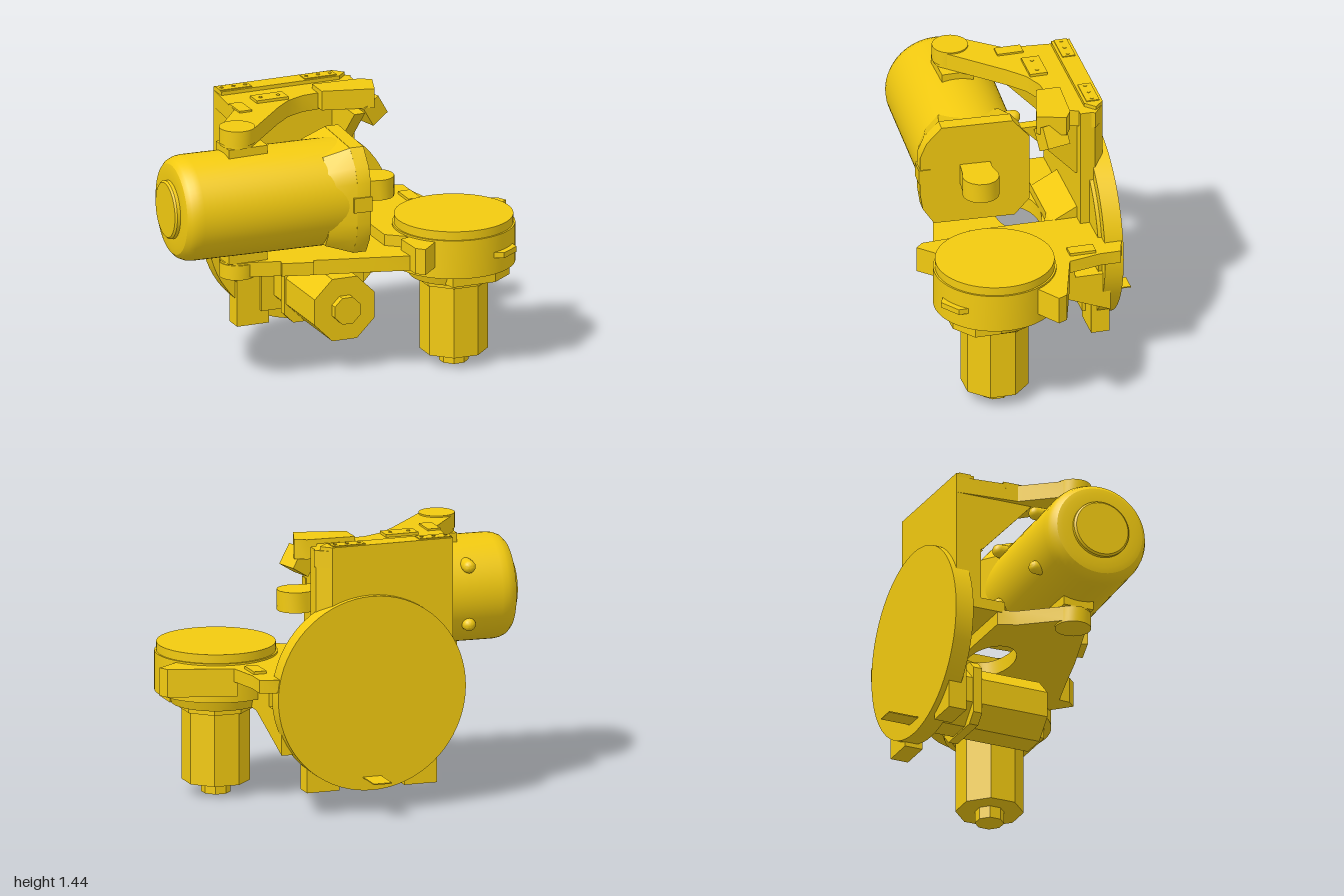
import * as THREE from 'three';
import { toCreasedNormals } from 'three/addons/utils/BufferGeometryUtils.js';

const paint = new THREE.MeshStandardMaterial({ color: 0xf2ca10 });

export function createModel() {
  const model = new THREE.Group();

  const add = (name, geo, parent = model) => {
    const mesh = new THREE.Mesh(toCreasedNormals(geo, 0.5), paint);
    mesh.name = name;
    parent.add(mesh);
    return mesh;
  };
  const extrude = (shape, depth) =>
    new THREE.ExtrudeGeometry(shape, { depth, bevelEnabled: false, curveSegments: 24 });
  const outline = (pts) => new THREE.Shape(pts.map(([a, b]) => new THREE.Vector2(a, b)));
  // Horizontal plate from [x, z] points
  const slab = (pts, y0, y1, hole) => {
    const s = outline(pts.map(([x, z]) => [x, -z]));
    if (hole) s.holes.push(new THREE.Path().absellipse(hole[0], -hole[1], hole[2], hole[3], 0, Math.PI * 2));
    return extrude(s, y1 - y0).rotateX(-Math.PI / 2).translate(0, y0, 0);
  };
  // Side profile from [z, y] points, spanning x0 to x1
  const side = (pts, x0, x1) =>
    extrude(outline(pts.map(([z, y]) => [-z, y])), x1 - x0).rotateY(Math.PI / 2).translate(x0, 0, 0);
  const box = (x0, x1, y0, y1, z0, z1) =>
    new THREE.BoxGeometry(x1 - x0, y1 - y0, z1 - z0).translate((x0 + x1) / 2, (y0 + y1) / 2, (z0 + z1) / 2);
  // Upright cylinder; flat sided ones face the axes
  const drum = (x, z, y0, y1, r, sides = 64, rTop = r) => {
    const k = sides < 16 ? 1 / Math.cos(Math.PI / sides) : 1;
    return new THREE.CylinderGeometry(rTop * k, r * k, y1 - y0, sides)
      .rotateY(Math.PI / sides).translate(x, (y0 + y1) / 2, z);
  };
  // Points of a rounded arm tip, from angle a0 to a1 in the [x, z] plane
  const tip = (x, z, r, a0, a1, n = 12) => Array.from({ length: n + 1 }, (_, i) => {
    const a = a0 + (a1 - a0) * i / n;
    return [x + r * Math.cos(a), z + r * Math.sin(a)];
  });

  // Rear mounting disc with its tab
  const disc = (r, z0, z1) => new THREE.CylinderGeometry(r, r, z1 - z0, 72)
    .rotateX(Math.PI / 2).translate(-0.01, 0.64, (z0 + z1) / 2);
  add('mountingDisc', disc(0.52, -0.45, -0.35));
  add('discStep', disc(0.46, -0.36, -0.33));
  add('discTab', box(-0.06, 0.04, 0.188, 0.194, -0.615, -0.44));

  // Back plate, chamfered on its left edge, with side gussets
  add('backPlate', slab([[-0.47, -0.42], [0.2, -0.42], [0.27, -0.36], [0.27, -0.28], [-0.47, -0.28]], 0.7, 1.41));
  add('backPlateCrown', slab([[-0.47, -0.42], [0.2, -0.42], [0.25, -0.37], [0.2, -0.32], [-0.47, -0.32]], 1.1, 1.43));
  for (const x of [-0.47, 0.14])
    add('gusset', side([[0.02, 1.33], [-0.29, 1.33], [-0.29, 1.02], [-0.27, 1.02]], x, x + 0.06));
  add('ramp', side([[-0.14, 0.74], [-0.29, 0.82], [-0.29, 0.74]], -0.2, 0.2));

  // Upper arm reaching to the barrel pivot
  add('upperArm', slab([
    [0.2, -0.42], [0.28, -0.36], [0.2, -0.2], [0.04, -0.165], [-0.08, -0.155], [-0.18, -0.11],
    [-0.27, -0.03], ...tip(-0.6, 0.19, 0.09, 0.6, Math.PI + 0.65), [-0.5, -0.08], [-0.49, -0.2], [-0.47, -0.42],
  ], 1.32, 1.41));
  add('upperArmTip', drum(-0.6, 0.19, 1.335, 1.418, 0.095, 32));

  // Barrel pivots, top and bottom
  for (const [y0, y1] of [[1.26, 1.345], [0.67, 0.75]])
    add('pivot', drum(-0.61, 0.2, y0, y1, 0.045, 24));
  add('upperPivotPad', box(-0.68, -0.46, 1.24, 1.32, 0.1, 0.27));
  add('lowerPivotPad', box(-0.68, -0.46, 0.69, 0.77, 0.1, 0.27));

  // Drill barrel, turned slightly about y
  const barrel = new THREE.Group();
  barrel.name = 'barrel';
  barrel.position.set(0, 1.005, 0.222);
  barrel.rotation.y = -0.05;
  model.add(barrel);
  const profile = [[0, 0], [0.28, 0], [0.28, 0.88], [0.275, 0.915], [0.262, 0.945], [0.24, 0.965], [0.21, 0.972],
    [0.155, 0.972], [0.155, 0.99], [0.145, 1.0], [0, 1.0]].map(([r, t]) => new THREE.Vector2(r, t));
  add('barrelShell', new THREE.LatheGeometry(profile, 64).rotateZ(Math.PI / 2), barrel);
  const head = side([[0.18, 0.283], [0.26, 0.2], [0.292, 0.12], [0.292, -0.1], [0.28, -0.19], [0.22, -0.278],
    [-0.21, -0.278], [-0.29, -0.19], [-0.29, 0.18], [-0.2, 0.283]], -0.18, -0.04);
  // Tapers into the shell at its rear end
  const hp = head.attributes.position;
  for (let i = 0; i < hp.count; i++)
    if (hp.getX(i) < -0.1) hp.setXYZ(i, hp.getX(i), hp.getY(i) * 0.85, hp.getZ(i) * 0.85);
  add('barrelHeadTaper', head, barrel);
  add('barrelHead', side([[0.18, 0.285], [0.26, 0.2], [0.294, 0.12], [0.294, -0.1], [0.28, -0.19], [0.22, -0.28],
    [-0.21, -0.28], [-0.29, -0.19], [-0.29, 0.18], [-0.2, 0.285]], -0.04, 0.035), barrel);
  add('nose', slab([[0.0, 0.08], [0.0, -0.08], [0.1, -0.08], ...tip(0.17, 0, 0.097, -2, 2)], -0.055, 0.055), barrel);
  add('noseBracket', box(-0.06, 0.04, -0.035, 0.045, 0.24, 0.302), barrel);
  for (const x of [-0.7, -0.2]) for (const y of [-0.14, 0.17])
    add('barrelKnob', new THREE.CapsuleGeometry(0.035, 0.07, 6, 16).rotateX(Math.PI / 2).translate(x, y, -0.22), barrel);

  // Lower arm and deck
  add('lowerArm', slab([
    [0.5, -0.1], [0.5, 0.4], [0.36, 0.52], [0.25, 0.51], [0.05, 0.455], [-0.2, 0.39],
    ...tip(-0.6, 0.19, 0.09, 1.25, Math.PI + 0.65), [-0.5, -0.08], [-0.46, -0.18], [0.45, -0.18],
  ], 0.61, 0.69, [-0.03, -0.02, 0.2, 0.12]));
  add('lowerArmTip', drum(-0.6, 0.19, 0.6, 0.68, 0.095, 32));
  add('rearDeck', slab([[-0.47, -0.4], [0.58, -0.4], [0.58, -0.1], [0.2, -0.1], [0.1, -0.14], [-0.47, -0.14]], 0.68, 0.74));
  add('sideDeck', slab([[0.2, -0.42], [0.5, -0.44], [0.6, -0.41], [0.6, -0.3], [0.64, -0.11], [0.6, 0.2],
    [0.32, 0.4], [0.19, 0.3], [0.19, 0.0]], 0.68, 0.75));
  add('deckSupport', side([[0.12, 0.64], [-0.19, 0.64], [-0.2, 0.55], [-0.39, 0.55], [-0.39, 0.33],
    [0, 0.485], [0.12, 0.485]], 0.19, 0.47));
  add('rearHook', slab([[0.62, -0.13], [0.97, -0.02], [0.995, 0.03], [0.86, 0.12], [0.6, 0.12]], 0.6, 0.75));
  add('frontHook', slab([[0.24, 0.4], [0.25, 0.57], [0.29, 0.61], [0.42, 0.48], [0.4, 0.36]], 0.61, 0.75));
  add('sideHook', slab([[0.68, 0.57], [0.74, 0.6], [0.84, 0.53], [0.84, 0.44], [0.7, 0.44]], 0.64, 0.67));

  // Round tool with the octagonal motor under it
  add('toolDrum', drum(0.595, 0.27, 0.55, 0.76, 0.322));
  add('toolLid', drum(0.595, 0.27, 0.76, 0.807, 0.312));
  add('toolBase', drum(0.595, 0.27, 0.485, 0.56, 0.235, 64, 0.26));
  add('toolBaseLug', slab([[0.42, 0.3], [0.84, 0.3], [0.84, 0.44], [0.72, 0.53], [0.48, 0.53]], 0.49, 0.56));
  add('motorCollar', drum(0.595, 0.27, 0.45, 0.49, 0.178, 8));
  add('motor', drum(0.595, 0.27, 0.065, 0.47, 0.165, 8));
  add('motorNub', drum(0.595, 0.27, 0, 0.07, 0.071, 8));

  // Lower octagonal tool, facing forward
  const octagon = (r, z0, z1, c) => {
    const k = r - c;
    return extrude(outline([[r, -k], [r, k], [k, r], [-k, r], [-r, k], [-r, -k], [-k, -r], [k, -r]]), z1 - z0)
      .translate(-0.01, 0.35, z0);
  };
  add('lowerTool', octagon(0.17, -0.36, 0.24, 0.1));
  add('lowerToolFlange', octagon(0.178, -0.19, -0.14, 0.05));
  add('lowerToolKnob', octagon(0.072, 0.23, 0.28, 0.042));
  const arch = new THREE.Shape();
  arch.moveTo(-0.25, 0.2).lineTo(0.23, 0.2).lineTo(0.23, 0.55)
    .absarc(-0.01, 0.42, 0.25, 0.5, Math.PI - 0.5).lineTo(-0.25, 0.55);
  add('archPlate', extrude(arch, 0.05).translate(0, 0, -0.35));

  // Legs in front of the disc
  for (const x of [-0.38, 0.16])
    add('leg', box(x, x + 0.18, 0.125, 0.62, -0.42, -0.32));

  // Sensor head on the upper arm
  add('sensorBlock', slab([[0.01, -0.24], [0.27, -0.225], [0.33, -0.19], [0.28, -0.04], [0.01, -0.11]], 1.33, 1.435));
  const lens = add('sensorLens', new THREE.BoxGeometry(0.11, 0.12, 0.13));
  lens.position.set(0.28, 1.305, -0.125);
  lens.rotation.set(0, 0.25, 0.55);

  // Contact pads with small studs: x, y, z, width, depth, stud count
  const pads = [
    [-0.38, 1.42, -0.37, 0.18, 0.07, 3], [0.1, 1.42, -0.37, 0.18, 0.07, 3],
    [-0.26, 1.41, -0.175, 0.18, 0.095, 2], [-0.46, 1.405, -0.09, 0.07, 0.14, 0],
    [0.55, 0.75, -0.21, 0.07, 0.14, 0],
  ];
  for (const [x, y, z, w, d, n] of pads) {
    add('pad', box(x - w / 2, x + w / 2, y - 0.02, y + 0.015, z - d / 2, z + d / 2));
    for (let i = 0; i < n; i++)
      add('stud', drum(x + (i - (n - 1) / 2) * 0.1 * 2 / n, z, y, y + 0.018, 0.01, 16));
  }
  const frontPad = add('frontPad', new THREE.BoxGeometry(0.17, 0.07, 0.05));
  frontPad.position.set(-0.33, 0.655, 0.36);
  frontPad.rotation.y = -0.28;

  return model;
}
